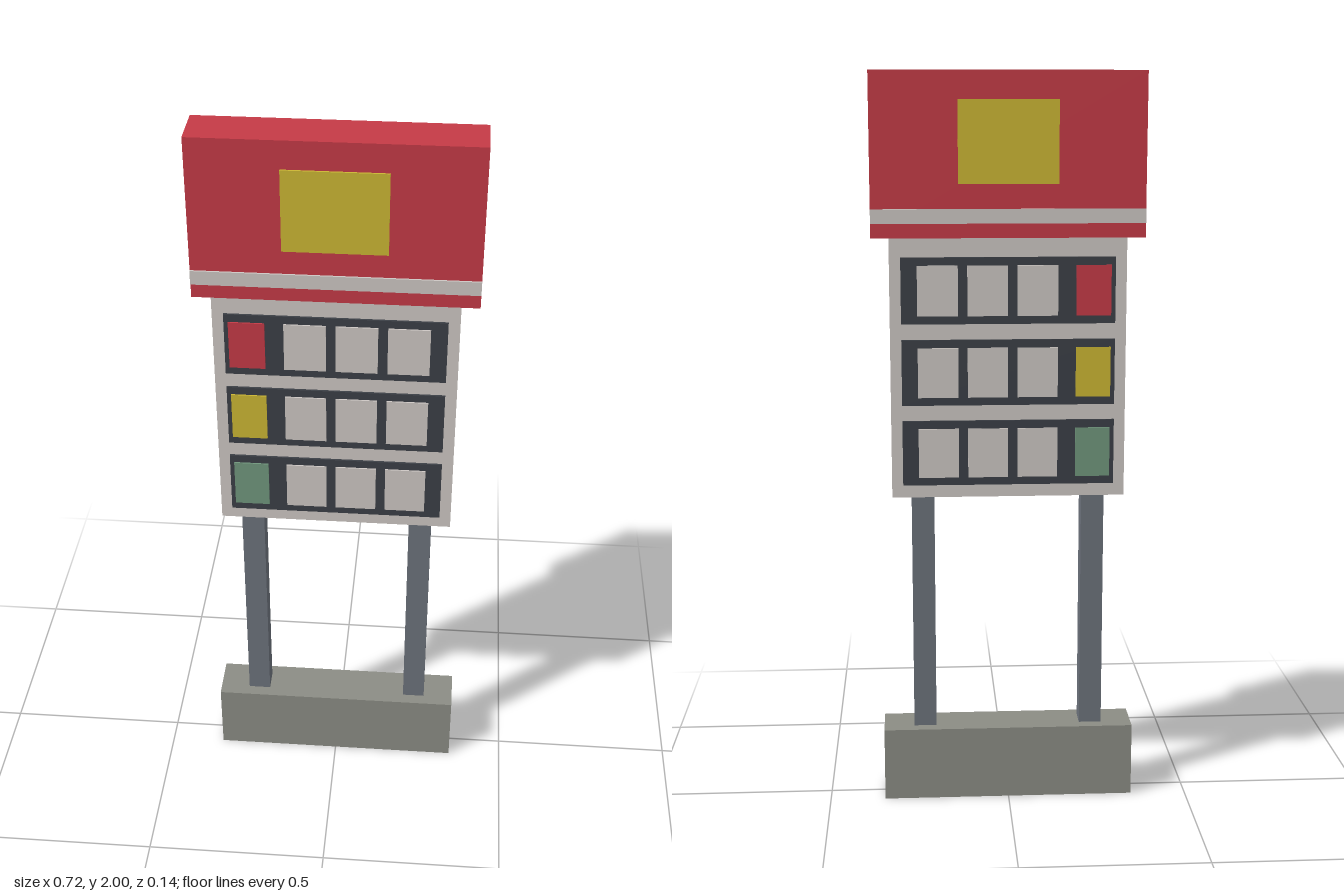
import * as THREE from 'three';

const mat = (name, color) => {
  const m = new THREE.MeshStandardMaterial({ color });
  m.name = name;
  return m;
};

export function createModel() {
  const red = mat('red', 0xc43a46);
  const yellow = mat('yellow', 0xcbb633);
  const white = mat('offWhite', 0xcdc7c3);
  const dark = mat('darkGrey', 0x3b3f46);
  const green = mat('green', 0x70967c);
  const steel = mat('steelGrey', 0x6c727b);
  const concrete = mat('concrete', 0x8b8c84);

  const model = new THREE.Group();
  model.name = 'priceSign';

  const box = (name, material, w, h, d, x, y, z = 0) => {
    const mesh = new THREE.Mesh(new THREE.BoxGeometry(w, h, d), material);
    mesh.name = name;
    mesh.position.set(x, y, z);
    model.add(mesh);
  };

  // Plinth, posts, cabinet and header
  box('base', concrete, 0.694, 0.204, 0.126, 0, 0.102);
  for (const side of [-1, 1]) box('post', steel, 0.062, 0.68, 0.06, side * 0.232, 0.54);
  box('cabinet', white, 0.63, 0.7, 0.104, 0, 1.22);
  box('header', red, 0.724, 0.43, 0.128, 0, 1.785);

  // Both faces carry the same panels, placed at the same x
  for (const face of [-1, 1]) {
    const plate = (name, material, w, h, x, y, zBack, zFront) =>
      box(name, material, w, h, zFront - zBack, x, y, face * (zBack + zFront) / 2);

    plate('headerPanel', yellow, 0.264, 0.216, 0, 1.818, 0.064, 0.069);
    plate('headerStripe', white, 0.724, 0.038, 0, 1.627, 0.064, 0.069);

    // Display rows: one coloured marker and three digit tiles each
    [red, yellow, green].forEach((marker, i) => {
      const y = 1.431 - i * 0.219;
      plate('displayRow', dark, 0.57, 0.177, 0, y, 0.052, 0.058);
      plate('rowMarker', marker, 0.093, 0.134, -0.227, y, 0.058, 0.062);
      for (let k = 0; k < 3; k++) {
        plate('digitTile', white, 0.108, 0.134, -0.078 + k * 0.133, y, 0.058, 0.062);
      }
    });
  }
  return model;
}
